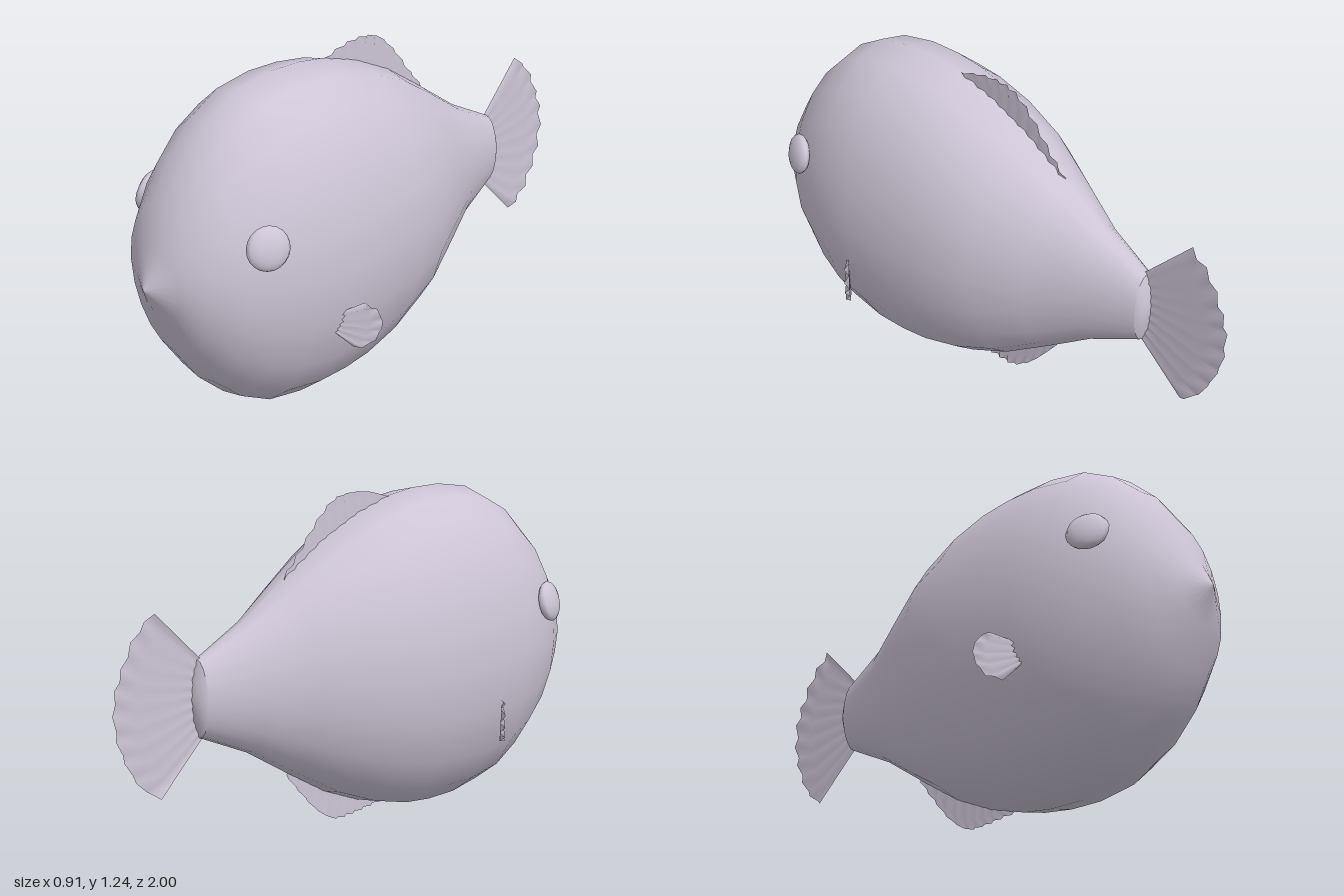
import * as THREE from 'three';

const CY = 0.615; // height of the body axis
const V = (x, y, z) => new THREE.Vector3(x, y, z);

// Indexed grid of rows of points; optionally wraps round each row
function skin(rows, wrap) {
  const n = rows[0].length, idx = [];
  for (let i = 0; i < rows.length - 1; i++) {
    for (let j = 0; j < (wrap ? n : n - 1); j++) {
      const k = (j + 1) % n, a = i * n + j, b = i * n + k, c = a + n, d = b + n;
      idx.push(a, c, b, b, c, d);
    }
  }
  const g = new THREE.BufferGeometry().setFromPoints(rows.flat());
  g.setIndex(idx);
  g.computeVertexNormals();
  return g;
}

// Pleated membrane between a root line and a rim line
function pleatedFin(root, rim, folds, depth, normal) {
  const a = new THREE.CatmullRomCurve3(root), b = new THREE.CatmullRomCurve3(rim);
  const rows = [];
  for (let i = 0; i <= 4; i++) {
    const t = i / 4, row = [];
    for (let j = 0; j <= folds; j++) {
      const u = j / folds;
      const p = a.getPoint(u).lerp(b.getPoint(u), t);
      row.push(p.addScaledVector(normal, (j % 2 ? 1 : -1) * depth * (0.25 + 0.75 * t)));
    }
    rows.push(row);
  }
  return skin(rows, false);
}

export function createModel() {
  const group = new THREE.Group();
  const skinMat = new THREE.MeshStandardMaterial({ color: 0xcdc5d6, side: THREE.DoubleSide });
  skinMat.name = 'paleLilac';
  const add = (name, geometry) => {
    const mesh = new THREE.Mesh(geometry, skinMat);
    mesh.name = name;
    group.add(mesh);
    return mesh;
  };

  // Body: elliptical sections [z, half height, half width] from nose to tail
  const sections = [
    [1, 0.002, 0.002], [0.94, 0.12, 0.115], [0.893, 0.27, 0.21], [0.797, 0.415, 0.28],
    [0.69, 0.52, 0.325], [0.572, 0.585, 0.36], [0.43, 0.61, 0.375], [0.305, 0.61, 0.372],
    [0.19, 0.595, 0.366], [0.04, 0.55, 0.346], [-0.12, 0.475, 0.303], [-0.295, 0.36, 0.215],
    [-0.47, 0.24, 0.125], [-0.668, 0.14, 0.06],
  ];
  const ring = ([z, ry, rx]) => Array.from({ length: 20 }, (_, j) => {
    const a = j / 20 * Math.PI * 2;
    return V(rx * Math.cos(a), CY + ry * Math.sin(a), z);
  });
  add('body', skin(sections.map(ring), true));
  add('tailStump', skin([[-0.668, 0.14, 0.06], [-0.688, 0.08, 0.045], [-0.694, 0.001, 0.001]].map(ring), true));

  // Tail fin
  const side = V(1, 0, 0);
  const tailRim = [[-0.835, 0.945], [-0.91, 0.875], [-0.965, 0.77], [-0.997, 0.68], [-0.997, 0.56],
    [-0.965, 0.455], [-0.91, 0.355], [-0.835, 0.295]].map(([z, y]) => V(0, y, z));
  add('tailFin', pleatedFin([V(0, CY + 0.14, -0.655), V(0, CY, -0.665), V(0, CY - 0.14, -0.655)],
    tailRim, 18, 0.009, side));

  // Dorsal and anal fins, rooted inside the body
  const dorsalRim = [[0.19, 1.205], [0.09, 1.235], [0, 1.241], [-0.07, 1.225], [-0.15, 1.155],
    [-0.23, 1.055], [-0.3, 0.975]].map(([z, y]) => V(0, y, z));
  const analRim = [[0.15, 0.03], [0.07, 0.022], [0, 0.015], [-0.07, 0.018], [-0.15, 0.07],
    [-0.23, 0.16], [-0.3, 0.25]].map(([z, y]) => V(0, y, z));
  add('dorsalFin', pleatedFin([V(0, 1.14, 0.17), V(0, 1.07, -0.06), V(0, 0.93, -0.28)],
    dorsalRim, 20, 0.007, side));
  add('analFin', pleatedFin([V(0, 0.09, 0.14), V(0, 0.16, -0.06), V(0, 0.3, -0.28)],
    analRim, 20, 0.007, side));

  for (const s of [1, -1]) {
    const label = s > 0 ? 'left' : 'right';

    // Pectoral fin, swept back at 45 degrees
    const at = ([x, y]) => V(s * x, y, 0.8 - x);
    const rim = [[0.408, 0.492], [0.437, 0.468], [0.45, 0.42], [0.443, 0.38], [0.42, 0.335], [0.38, 0.32]];
    const root = [[0.335, 0.45], [0.33, 0.415], [0.335, 0.38]];
    add(label + 'PectoralFin', pleatedFin(root.map(at), rim.map(at), 10, 0.009,
      V(s, 0, 1).normalize()));

    // Bulging eye, flattened along the body's outward direction
    const eye = add(label + 'Eye', new THREE.SphereGeometry(0.075, 12, 10));
    eye.scale.set(1, 1, 0.4);
    eye.position.set(s * 0.31, 0.785, 0.727);
    eye.quaternion.setFromUnitVectors(V(0, 0, 1), V(s * 0.9, 0.25, 0.36).normalize());
  }
  return group;
}
